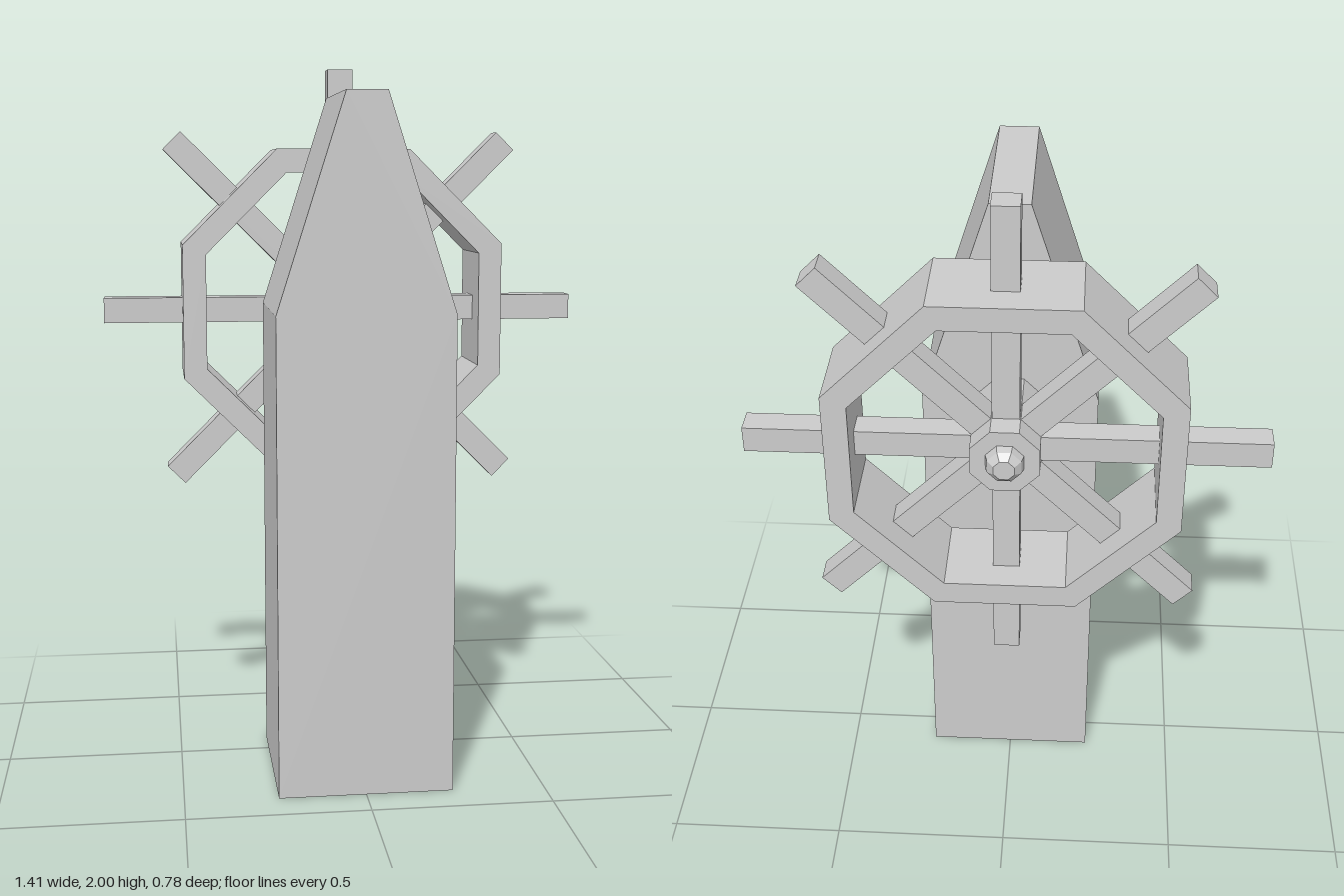
import * as THREE from 'three';

const material = new THREE.MeshStandardMaterial({ color: 0xcccccc, flatShading: true });

function addMesh(parent, name, geometry) {
  const mesh = new THREE.Mesh(geometry, material);
  mesh.name = name;
  parent.add(mesh);
  return mesh;
}

// Corners of a flat-topped octagon given its centre-to-side distance
function octagon(apothem) {
  const r = apothem / Math.cos(Math.PI / 8);
  return Array.from({ length: 8 }, (_, i) => {
    const a = Math.PI / 8 + (i * Math.PI) / 4;
    return new THREE.Vector2(r * Math.cos(a), r * Math.sin(a));
  });
}

function extrude(shape, zBack, zFront) {
  const geometry = new THREE.ExtrudeGeometry(shape, { depth: zFront - zBack, bevelEnabled: false });
  return geometry.translate(0, 0, zBack);
}

export function createModel() {
  const group = new THREE.Group();

  // Pedestal: square post tapering to a narrow ridge
  const profile = [[-0.242, 0], [0.242, 0], [0.242, 1.325], [0.055, 1.91], [-0.055, 1.91], [-0.242, 1.325]];
  const post = new THREE.Shape(profile.map(([x, y]) => new THREE.Vector2(x, y)));
  addMesh(group, 'pedestal', extrude(post, -0.09, 0.39));

  // Steering wheel, mounted behind the pedestal
  const wheel = new THREE.Group();
  wheel.name = 'wheel';
  wheel.position.y = 1.295;
  group.add(wheel);

  // Octagonal rim with open centre
  const rim = new THREE.Shape(octagon(0.473));
  rim.holes.push(new THREE.Path(octagon(0.405)));
  addMesh(wheel, 'rim', extrude(rim, -0.37, -0.12));

  // Bars through the hub, each making two opposite spokes with handles
  for (let i = 0; i < 4; i++) {
    const bar = addMesh(wheel, 'spokeBar', new THREE.BoxGeometry(1.41, 0.074, 0.074));
    bar.position.z = -0.248;
    bar.rotation.z = (i * Math.PI) / 4;
  }

  // Hub and its rounded cap
  addMesh(wheel, 'hub', extrude(new THREE.Shape(octagon(0.093)), -0.35, -0.09));
  const capProfile = [[0.055, 0], [0.049, 0.022], [0.03, 0.04], [0, 0.04]].map(([r, h]) => new THREE.Vector2(r, h));
  const cap = addMesh(wheel, 'hubCap', new THREE.LatheGeometry(capProfile, 8, Math.PI / 8));
  cap.rotation.x = -Math.PI / 2;
  cap.position.z = -0.35;

  return group;
}
